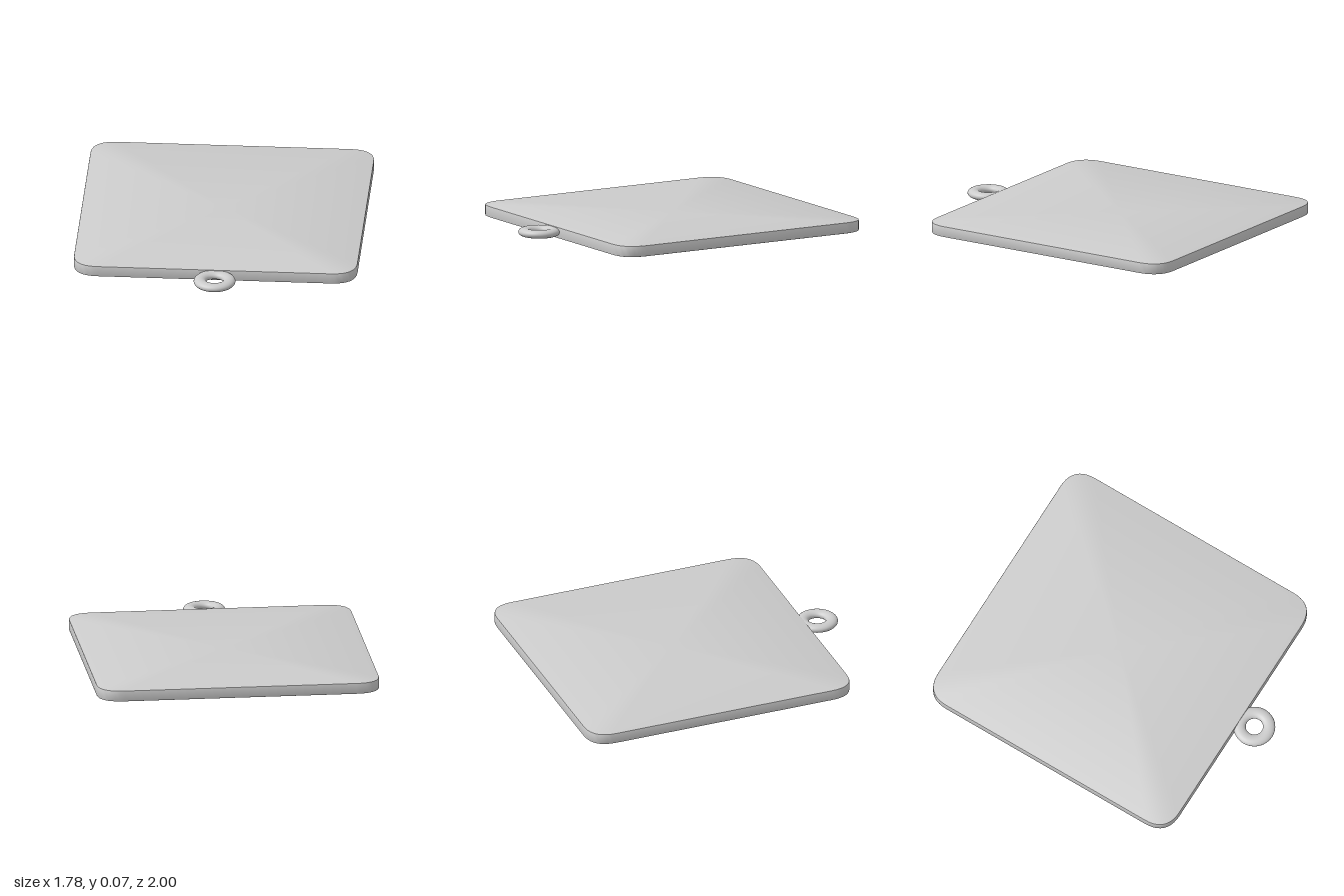
import * as THREE from 'three';
import { toCreasedNormals } from 'three/addons/utils/BufferGeometryUtils.js';

const material = new THREE.MeshStandardMaterial({ color: 0xcccccc });
const HALF_X = 0.89, Z_BACK = -1, Z_FRONT = 0.775, HEIGHT = 0.07, FLOOR = 0.036;

function addMesh(parent, name, geometry) {
  const mesh = new THREE.Mesh(geometry, material);
  mesh.name = name;
  parent.add(mesh);
  return mesh;
}

// Rounded plan outline of the plate, drawn in by an inset, as [x, z] points
function outline(inset) {
  const hx = HALF_X - inset, hz = (Z_FRONT - Z_BACK) / 2 - inset;
  const cz = (Z_FRONT + Z_BACK) / 2, r = 0.16 - inset * 0.8;
  const points = [];
  for (const [sx, sz] of [[1, 1], [-1, 1], [-1, -1], [1, -1]]) {
    const side = new THREE.Vector2(sx * hx, cz + sz * (hz - r));
    const end = new THREE.Vector2(sx * (hx - r), cz + sz * hz);
    const corner = new THREE.Vector2(sx * hx, cz + sz * hz);
    const arc = new THREE.QuadraticBezierCurve(side, corner, end).getPoints(10);
    points.push(...(sx * sz > 0 ? arc : arc.reverse()));
  }
  return points;
}

// Hollow-backed plate: one closed skin swept through inset/height steps
function plateGeometry() {
  const steps = [
    [0.006, HEIGHT], [0.0015, HEIGHT - 0.0015], [0, HEIGHT - 0.006],
    [0, 0.006], [0.0015, 0.0015], [0.006, 0], [0.05, 0], [0.05, FLOOR],
  ];
  const positions = [], index = [];
  const count = outline(0).length;
  for (const [inset, y] of steps)
    for (const p of outline(inset)) positions.push(p.x, y, p.y);
  const cz = (Z_FRONT + Z_BACK) / 2;
  const topCentre = steps.length * count, floorCentre = topCentre + 1;
  positions.push(0, HEIGHT, cz, 0, FLOOR, cz);
  const last = (steps.length - 1) * count;
  for (let i = 0; i < count; i++) {
    const j = (i + 1) % count;
    index.push(topCentre, j, i, floorCentre, last + i, last + j);
    for (let s = 0; s < steps.length - 1; s++) {
      const a = s * count, b = a + count;
      index.push(a + i, a + j, b + i, a + j, b + j, b + i);
    }
  }
  const geometry = new THREE.BufferGeometry();
  geometry.setAttribute('position', new THREE.Float32BufferAttribute(positions, 3));
  geometry.setIndex(index);
  return toCreasedNormals(geometry, 0.6);
}

// Heart outline: half is drawn from tip to cleft, then mirrored
function heartGeometry() {
  const half = new THREE.Path();
  half.moveTo(0, -0.9);
  half.lineTo(0.62, -0.1);
  half.bezierCurveTo(0.75, 0.07, 0.79, 0.2, 0.79, 0.33);
  half.bezierCurveTo(0.79, 0.55, 0.62, 0.69, 0.4, 0.69);
  half.bezierCurveTo(0.22, 0.69, 0.06, 0.62, 0, 0.49);
  const right = half.getPoints(16);
  const left = right.slice(1, -1).reverse().map((p) => new THREE.Vector2(-p.x, p.y));
  const geometry = new THREE.ExtrudeGeometry(new THREE.Shape([...right, ...left]), {
    depth: FLOOR + 0.004, bevelEnabled: false,
  });
  geometry.rotateX(Math.PI / 2).translate(0, FLOOR + 0.004, 0);
  return toCreasedNormals(geometry, 0.6);
}

export function createModel() {
  const model = new THREE.Group();
  model.name = 'heartPendant';

  addMesh(model, 'plate', plateGeometry());

  // Raised heart on the underside, level with the rim
  addMesh(model, 'heart', heartGeometry());

  // Flattened hanging loop at the front edge
  const loop = new THREE.TorusGeometry(0.0925, 0.0385, 24, 48);
  loop.scale(1, 1, 0.67).rotateX(Math.PI / 2);
  addMesh(model, 'hangingLoop', loop).position.set(0.01, 0.04, 0.869);

  return model;
}
